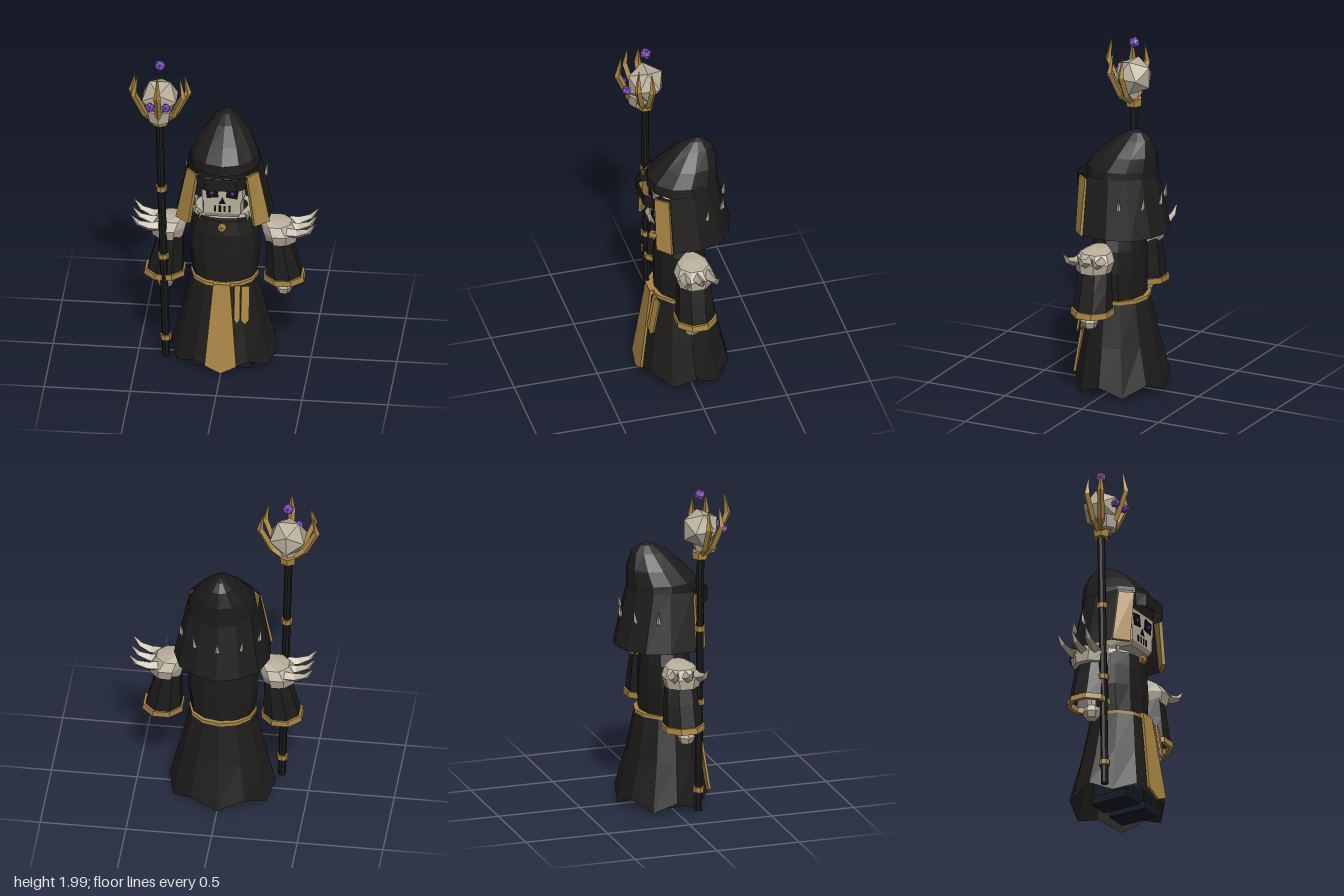
import * as THREE from 'three';

const V = (x, y, z) => new THREE.Vector3(x, y, z);
const mat = (color) => new THREE.MeshStandardMaterial({ color, flatShading: true, side: THREE.DoubleSide });
const robe = mat(0x1d1c1b), gold = mat(0xa88544), bone = mat(0xb8ae9c), purple = mat(0x8050c0);
const dark = mat(0x0c0b10), boot = mat(0x151a26), wood = mat(0x191919);

// Skin over rings of points, each ring running counter-clockwise seen from above
function loft(rings, closed = true) {
  const pos = [], n = rings[0].length;
  const tri = (...p) => p.forEach((v) => pos.push(v.x, v.y, v.z));
  for (let r = 0; r + 1 < rings.length; r++) {
    for (let i = 0; i < (closed ? n : n - 1); i++) {
      const j = (i + 1) % n, a = rings[r], b = rings[r + 1];
      if (a[i].distanceTo(a[j]) > 1e-5) tri(a[i], a[j], b[j]);
      if (b[i].distanceTo(b[j]) > 1e-5) tri(a[i], b[j], b[i]);
    }
  }
  const g = new THREE.BufferGeometry();
  g.setAttribute('position', new THREE.Float32BufferAttribute(pos, 3));
  g.computeVertexNormals();
  return g;
}

// Elliptical ring at height y
const oval = (y, rx, rz, cz = 0, n = 12, cx = 0) => Array.from({ length: n }, (_, i) => {
  const a = (i / n) * Math.PI * 2;
  return V(cx + rx * Math.sin(a), y, cz + rz * Math.cos(a));
});

// Tapering four-sided horn along a path lying in a vertical plane
function horn(points, radii) {
  const side = points.at(-1).clone().sub(points[0]).cross(V(0, 1, 0)).normalize();
  return loft(points.map((p, i) => {
    const t = points[Math.min(i + 1, points.length - 1)].clone().sub(points[Math.max(i - 1, 0)]).normalize();
    const v = t.cross(side);
    return [0, 1, 2, 3].map((k) => p.clone()
      .addScaledVector(side, radii[i] * Math.cos((k * Math.PI) / 2))
      .addScaledVector(v, radii[i] * Math.sin((k * Math.PI) / 2)));
  }));
}

// Flat panel cut from an outline
function panel(outline, depth) {
  return new THREE.ExtrudeGeometry(new THREE.Shape(outline.map(([x, y]) => new THREE.Vector2(x, y))), { depth, bevelEnabled: false });
}

function add(parent, name, geo, material, p = [0, 0, 0], r = [0, 0, 0]) {
  const m = new THREE.Mesh(geo, material);
  m.name = name;
  m.position.set(...p);
  m.rotation.set(...r);
  parent.add(m);
  return m;
}

function group(parent, name) {
  const g = new THREE.Group();
  g.name = name;
  parent.add(g);
  return g;
}

function buildRobe(root) {
  const g = group(root, 'robe');
  add(g, 'torso', loft([oval(0.55, 0.185, 0.15, 0.01), oval(0.74, 0.207, 0.15, 0.01), oval(0.87, 0.195, 0.145, 0.01),
    oval(0.96, 0.165, 0.13, 0.01), oval(0.99, 0.05, 0.04, 0)]), robe);
  // Skirt with a zigzag hem
  const hem = oval(0, 0.31, 0.265, -0.01);
  hem.forEach((p, i) => { p.y = i % 2 ? 0.075 : 0.015; });
  add(g, 'skirt', loft([hem, oval(0.3, 0.25, 0.215, 0.002), oval(0.56, 0.19, 0.172, 0.01)]), robe);
  add(g, 'belt', loft([oval(0.55, 0.198, 0.178, 0.01), oval(0.57, 0.198, 0.178, 0.01), oval(0.57, 0.17, 0.13, 0.01)]), gold);
  // Hanging cloth
  add(g, 'tabard', panel([[-0.05, 0], [-0.092, -0.5], [0, -0.545], [0.092, -0.5], [0.05, 0]], 0.015), gold, [0, 0.56, 0.185], [-0.135, 0, 0]);
  add(g, 'tabardClasp', new THREE.BoxGeometry(0.1, 0.03, 0.03), gold, [0, 0.56, 0.185]);
  [[0.088, 0.017], [0.135, 0.024]].forEach(([x, w]) =>
    add(g, 'beltStrap', panel([[-w, 0], [-w, -0.21], [0, -0.235], [w, -0.21], [w, 0]], 0.012), gold, [x, 0.56, 0.172], [-0.17, 0.3, 0]));
  // Bone collar and its teeth
  add(g, 'collar', loft([oval(0.95, 0.19, 0.15, -0.03, 16), oval(0.985, 0.175, 0.14, -0.03, 16), oval(0.985, 0.13, 0.1, -0.03, 16)]), bone);
  oval(0.965, 0.195, 0.155, -0.03, 16).forEach((p) => {
    if (p.z < 0.08) add(g, 'collarTooth', new THREE.ConeGeometry(0.018, 0.05, 4), bone, [p.x, p.y, p.z], [Math.PI, 0, 0]);
  });
  add(g, 'amulet', new THREE.IcosahedronGeometry(0.031, 0), gold, [0, 0.935, 0.165]);
  for (const s of [-1, 1]) {
    add(g, 'boot', new THREE.BoxGeometry(0.14, 0.05, 0.24), boot, [s * 0.1, 0.03, 0.04]);
    add(g, 'bootUpper', new THREE.BoxGeometry(0.12, 0.12, 0.15), boot, [s * 0.1, 0.11, 0]);
  }
}

function buildHood(root) {
  const g = group(root, 'hood');
  add(g, 'hoodCrown', loft([oval(1.3, 0.205, 0.21, -0.005), oval(1.36, 0.195, 0.208, -0.008), oval(1.44, 0.153, 0.17, -0.045),
    oval(1.53, 0.08, 0.105, -0.082), oval(1.57, 0.033, 0.045, -0.095), oval(1.585, 0, 0, -0.1)]), robe);
  // Drape, open at the face: half outlines mirrored across x
  const drape = (y, half) => [...half, ...half.slice(0, -1).reverse().map(([x, z]) => [-x, z])].map(([x, z]) => V(x, y, z));
  add(g, 'hoodDrape', loft([
    drape(0.975, [[0.185, 0.19], [0.265, 0.115], [0.28, -0.04], [0.23, -0.18], [0.13, -0.255], [0, -0.295]]),
    drape(1.32, [[0.145, 0.185], [0.2, 0.12], [0.207, -0.02], [0.18, -0.115], [0.1, -0.185], [0, -0.212]]),
  ], false), robe);
  add(g, 'brow', loft([[-0.14, 1.225, 0.14, 0.14], [1, 1.305, 0.145, 0.15]].map(([, y, w, b]) =>
    [V(-0.09, y, 0.245), V(0.09, y, 0.245), V(w, y, 0.205), V(w, y, b), V(-w, y, b), V(-w, y, 0.205)])), robe);
  for (const s of [-1, 1]) {
    // Gold edging beside the face
    const edge = (y, x1, x2) => {
      const p = [V(s * x1, y, 0.2), V(s * x2, y, 0.13), V(s * (x2 - 0.015), y, 0.115), V(s * (x1 - 0.015), y, 0.185)];
      return s > 0 ? p : p.reverse();
    };
    const rows = [edge(0.975, 0.195, 0.275), edge(1.3, 0.15, 0.21)];
    const mid = (r) => { const c = r.reduce((a, p) => a.add(p), V(0, 0, 0)).divideScalar(4); return r.map(() => c); };
    add(g, 'hoodEdging', loft([mid(rows[0]), ...rows, mid(rows[1])]), gold);
  }
  // Spikes around the back
  for (const a of [-1.2, -0.6, 0, 0.6, 1.2]) {
    const at = (r, y) => V(Math.sin(a) * r, y, -0.01 - Math.cos(a) * r);
    add(g, 'hoodSpike', horn([at(0.215, 1.13), at(0.245, 1.16), at(0.255, 1.235)], [0.016, 0.013, 0]), bone);
  }
}

function buildSkull(root) {
  const g = group(root, 'skull');
  const slice = (y, w, f) => [V(-w, y, f), V(w, y, f), V(w + 0.012, y, f - 0.06), V(w * 0.7, y, -0.12), V(-w * 0.7, y, -0.12), V(-w - 0.012, y, f - 0.06)];
  add(g, 'cranium', loft([slice(1, 0, 0.1), slice(1, 0.095, 0.145), slice(1.03, 0.108, 0.16), slice(1.1, 0.108, 0.16),
    slice(1.13, 0.118, 0.16), slice(1.23, 0.118, 0.16), slice(1.29, 0.07, 0.1)]), bone);
  for (const s of [-1, 1]) {
    add(g, 'eyeSocket', new THREE.BoxGeometry(0.068, 0.072, 0.02), dark, [s * 0.06, 1.17, 0.155], [0, 0, s * -0.14]);
    add(g, 'eye', new THREE.IcosahedronGeometry(0.014, 0), purple, [s * 0.06, 1.165, 0.166]);
  }
  add(g, 'nose', panel([[-0.018, 0], [0.018, 0], [0, 0.04]], 0.01), dark, [0, 1.095, 0.155]);
  for (const x of [-0.042, -0.014, 0.014, 0.042]) add(g, 'toothGap', new THREE.BoxGeometry(0.012, 0.04, 0.012), dark, [x, 1.06, 0.157]);
  add(g, 'neck', new THREE.CylinderGeometry(0.06, 0.07, 0.08, 8), robe, [0, 0.98, 0]);
}

function buildArm(root, s) {
  const g = group(root, s > 0 ? 'leftArm' : 'rightArm');
  const ring = (y, cx, rx, rz) => {
    const c = Math.cos(Math.PI / 8);
    return oval(y, 0, 0, 0, 8).map((_, i) => {
      const a = ((i + 0.5) / 8) * Math.PI * 2;
      return V(s * cx + (rx / c) * Math.sin(a), y, 0.01 + (rz / c) * Math.cos(a));
    });
  };
  add(g, 'sleeve', loft([ring(0.56, 0.345, 0.105, 0.108), ring(0.7, 0.328, 0.085, 0.1), ring(0.86, 0.305, 0.062, 0.09)]), robe);
  add(g, 'cuff', loft([ring(0.54, 0.348, 0.095, 0.095), ring(0.54, 0.348, 0.118, 0.118), ring(0.575, 0.345, 0.115, 0.118), ring(0.575, 0.345, 0.095, 0.095), ring(0.54, 0.348, 0.095, 0.095)]), gold);
  add(g, 'wrist', new THREE.CylinderGeometry(0.03, 0.03, 0.1, 6), bone, [s * 0.345, 0.56, 0.03]);
  add(g, 'hand', new THREE.SphereGeometry(0.053, 6, 4), bone, [s * 0.345, 0.493, 0.03]);
  // Bone shoulder guard
  add(g, 'shoulderGuard', loft([ring(0.8, 0.33, 0.04, 0.05), ring(0.8, 0.33, 0.088, 0.095), ring(0.86, 0.325, 0.098, 0.112),
    ring(0.91, 0.3, 0.085, 0.085), ring(0.93, 0.255, 0.045, 0.045), ring(0.93, 0.255, 0, 0)]), bone);
  for (const k of [-1, 0, 1]) {
    const z = 0.01 + k * 0.07;
    const path = [[0.37, 0.875, z], [0.43, 0.875, z + k * 0.008], [0.495, 0.9, z + k * 0.018], [0.542, 0.96, z + k * 0.025]];
    add(g, 'shoulderSpike', horn(path.map(([x, y, q]) => V(s * x, y, q)), [0.032, 0.028, 0.018, 0]), bone);
  }
}

function buildStaff(root) {
  const g = group(root, 'staff');
  const axisX = (y) => -0.33 - (0.04 * (y - 0.03)) / 1.57;
  const z = 0.11, cx = -0.367, tilt = [0, 0, 0.0255];
  add(g, 'shaft', new THREE.CylinderGeometry(0.023, 0.023, 1.57, 8), wood, [axisX(0.815), 0.815, z], tilt);
  for (const y of [0.16, 0.7, 1.15]) add(g, 'shaftBand', new THREE.CylinderGeometry(0.033, 0.033, 0.032, 8), gold, [axisX(y), y, z], tilt);
  add(g, 'headCollar', new THREE.CylinderGeometry(0.052, 0.048, 0.045, 6), gold, [cx, 1.602, z]);
  add(g, 'headOrb', new THREE.IcosahedronGeometry(0.118, 0), bone, [cx, 1.76, z]);
  add(g, 'headJaw', new THREE.CylinderGeometry(0.075, 0.062, 0.075, 6), bone, [cx, 1.66, z + 0.035]);
  for (const s of [-1, 1]) add(g, 'headEye', new THREE.IcosahedronGeometry(0.029, 0), purple, [cx + s * 0.046, 1.757, 0.235]);
  add(g, 'floatingGem', new THREE.IcosahedronGeometry(0.035, 0), purple, [cx, 1.965, 0.107]);
  // Curved prongs around the front and sides
  for (const [deg, lift] of [[0, 0.9], [30, 0.97], [90, 1.1], [150, 0.97], [180, 0.9]]) {
    const a = (deg * Math.PI) / 180;
    const path = [[0.04, 0], [0.095, 0.05], [0.165, 0.2], [0.14, 0.335]].map(([r, h]) =>
      V(cx + Math.cos(a) * r, 1.62 + h * lift, z + Math.sin(a) * r));
    add(g, 'prong', horn(path, [0.02, 0.02, 0.02, 0]), gold);
  }
}

export function createModel() {
  const root = new THREE.Group();
  root.name = 'hoodedSkeletonMage';
  buildRobe(root);
  buildHood(root);
  buildSkull(root);
  buildArm(root, 1);
  buildArm(root, -1);
  buildStaff(root);
  return root;
}
